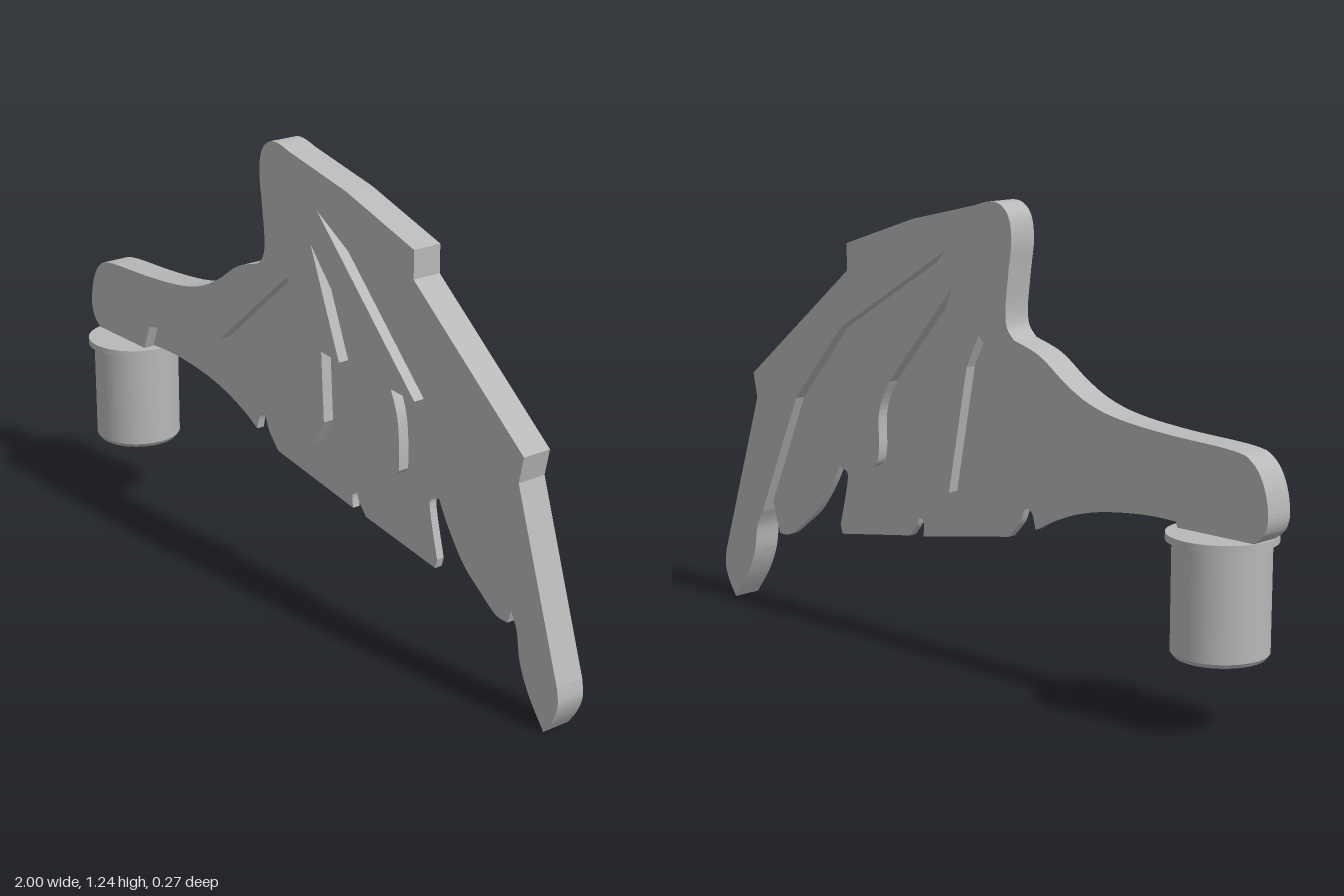
import * as THREE from 'three';

const v = (pts) => pts.map(([x, y]) => new THREE.Vector2(x, y));

// Builds a closed outline from runs of points: 'curve' runs are splined, 'line' runs are straight.
function outline(start, runs) {
  const shape = new THREE.Shape();
  shape.moveTo(...start);
  for (const [kind, pts] of runs) {
    if (kind === 'curve') shape.splineThru(v(pts));
    else pts.forEach(([x, y]) => shape.lineTo(x, y));
  }
  return shape;
}

// Plate of the given thickness, centred on z = 0.
function plate(name, shape, depth, material) {
  const geometry = new THREE.ExtrudeGeometry(shape, { depth, bevelEnabled: false, curveSegments: 5 });
  geometry.translate(0, 0, -depth / 2);
  const mesh = new THREE.Mesh(geometry, material);
  mesh.name = name;
  return mesh;
}

export function createModel() {
  const group = new THREE.Group();
  group.name = 'wing';
  const grey = new THREE.MeshStandardMaterial({ color: 0xb8b8b8 });
  grey.name = 'grey';

  // Thick frame: arm, crest, outer finger and two inner fingers
  const frame = outline([-0.96, 0.497], [
    ['curve', [[-0.99, 0.525], [-1, 0.57], [-0.985, 0.64], [-0.95, 0.69], [-0.89, 0.71], [-0.69, 0.72],
      [-0.54, 0.735], [-0.44, 0.76], [-0.36, 0.80], [-0.27, 0.86], [-0.18, 0.89]]],
    ['curve', [[-0.155, 0.92], [-0.15, 0.97], [-0.16, 1.06], [-0.17, 1.14], [-0.16, 1.2], [-0.13, 1.23],
      [-0.09, 1.235], [-0.04, 1.222]]],
    ['line', [[0.19, 1.17], [0.45, 1.085], [0.45, 1.01], [0.855, 0.68], [0.84, 0.61], [0.995, 0.135]]],
    ['curve', [[1, 0.09], [0.985, 0.045], [0.955, 0]]],
    ['curve', [[0.9, 0.075], [0.865, 0.15], [0.85, 0.23], [0.825, 0.28]]],
    ['line', [[0.67, 0.63], [0.48, 0.85], [0.07, 1.095], [0.46, 0.698], [0.37, 0.703]]],
    ['curve', [[0.395, 0.64], [0.405, 0.56], [0.405, 0.495]]],
    ['curve', [[0.385, 0.478], [0.345, 0.487], [0.328, 0.53], [0.325, 0.64], [0.285, 0.725]]],
    ['line', [[0.045, 1.0], [0.163, 0.713], [0.09, 0.722], [0.102, 0.53], [0.056, 0.457],
      [-0.01, 0.8], [-0.053, 0.887], [-0.355, 0.63], [-0.7, 0.57], [-0.728, 0.497]]],
  ]);
  group.add(plate('wingFrame', frame, 0.083, grey));

  // Thin membrane with a ragged lower edge; its upper edge is hidden in the frame
  const membrane = outline([-0.8, 0.51], [
    ['line', [[-0.73, 0.5]]],
    ['curve', [[-0.61, 0.502], [-0.47, 0.487], [-0.37, 0.463], [-0.285, 0.43], [-0.23, 0.4]]],
    ['curve', [[-0.218, 0.44], [-0.195, 0.452], [-0.175, 0.41], [-0.135, 0.365]]],
    ['line', [[0.187, 0.31]]],
    ['curve', [[0.184, 0.345], [0.2, 0.36], [0.213, 0.335], [0.24, 0.303]]],
    ['line', [[0.515, 0.26], [0.522, 0.285]]],
    ['curve', [[0.49, 0.42], [0.505, 0.447], [0.525, 0.452]]],
    ['curve', [[0.56, 0.39], [0.62, 0.31], [0.68, 0.262], [0.74, 0.22], [0.785, 0.215]]],
    ['line', [[0.815, 0.305], [0.85, 0.3], [0.8, 0.6], [0.5, 0.9], [0.07, 1.13], [-0.06, 0.92],
      [-0.37, 0.67], [-0.75, 0.6]]],
  ]);
  group.add(plate('wingMembrane', membrane, 0.022, grey));

  // Peg with a flange on top and a small chamfer below; each edge gets its own hard-edged band
  const peg = new THREE.Group();
  peg.name = 'peg';
  peg.position.x = -0.833;
  const bands = [
    ['pegFlange', 0.137, 0.137, 0.479, 0.497],
    ['pegBody', 0.121, 0.121, 0.204, 0.479],
    ['pegChamfer', 0.121, 0.113, 0.193, 0.204],
  ];
  for (const [name, top, bottom, y0, y1] of bands) {
    const band = new THREE.Mesh(new THREE.CylinderGeometry(top, bottom, y1 - y0, 48), grey);
    band.name = name;
    band.position.y = (y0 + y1) / 2;
    peg.add(band);
  }
  group.add(peg);
  return group;
}
